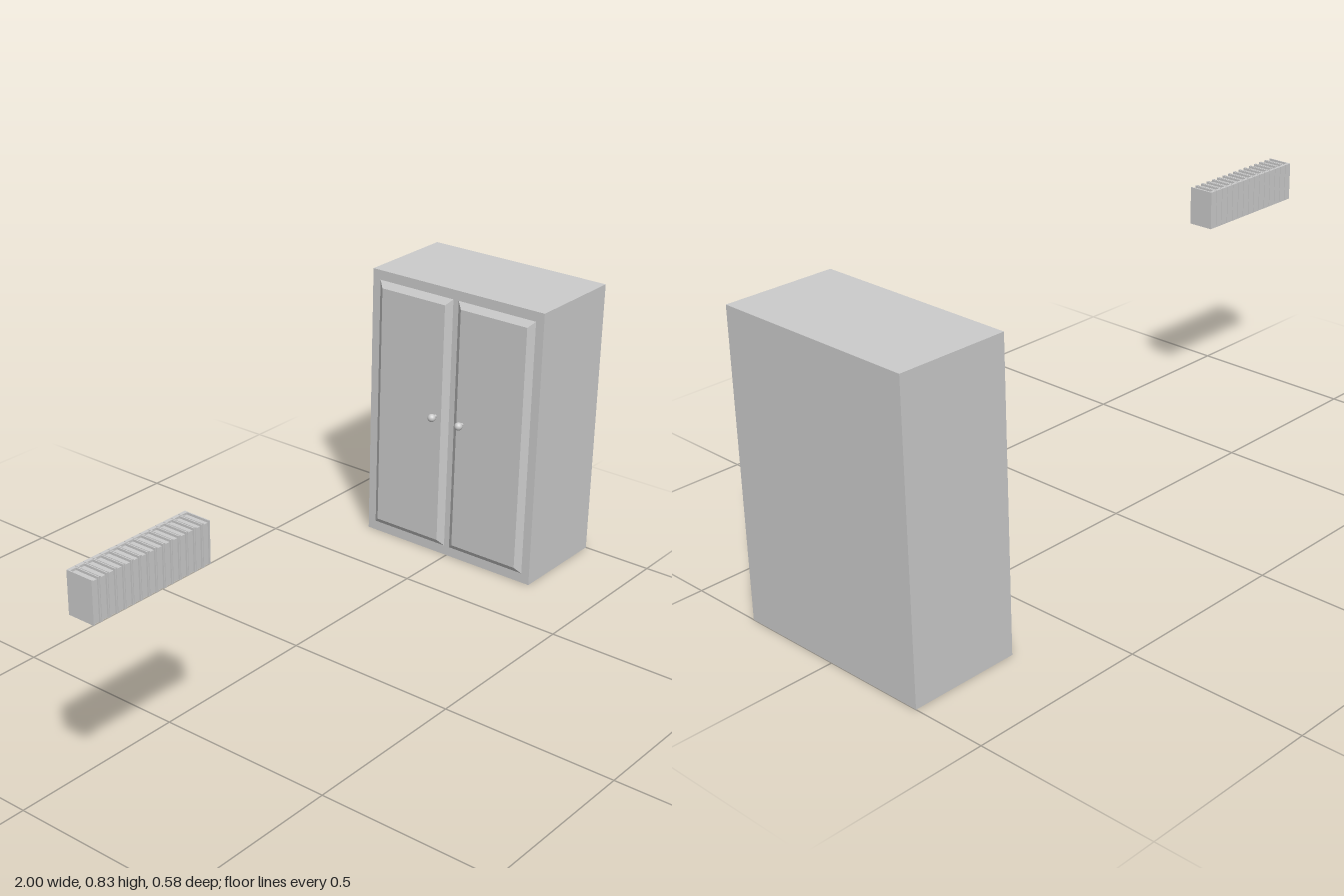
import * as THREE from 'three';

const grey = new THREE.MeshStandardMaterial({ color: 0xcccccc });

function add(parent, name, geometry, x, y, z) {
  const mesh = new THREE.Mesh(geometry, grey);
  mesh.name = name;
  mesh.position.set(x, y, z);
  parent.add(mesh);
  return mesh;
}

// Slab whose -x face is shrunk to leave a sloping bevel on all four sides
function bevelledPanel(depth, height, width, bevel) {
  const g = new THREE.BoxGeometry(depth, height, width);
  const p = g.attributes.position;
  for (let i = 0; i < p.count; i++) {
    if (p.getX(i) > 0) continue;
    p.setY(i, p.getY(i) - Math.sign(p.getY(i)) * bevel);
    p.setZ(i, p.getZ(i) - Math.sign(p.getZ(i)) * bevel);
  }
  g.computeVertexNormals();
  return g;
}

// Cabinet with its doors on the -x side
function createCabinet() {
  const cabinet = new THREE.Group();
  cabinet.name = 'cabinet';
  add(cabinet, 'cabinetBody', new THREE.BoxGeometry(0.308, 0.828, 0.582), 0.846, 0.414, 0);
  for (const s of [-1, 1]) {
    const side = s > 0 ? 'left' : 'right';
    add(cabinet, side + 'Door', bevelledPanel(0.014, 0.77, 0.256, 0.018), 0.685, 0.414, s * 0.137);
    const stem = add(cabinet, side + 'KnobStem', new THREE.CylinderGeometry(0.005, 0.005, 0.024, 12), 0.67, 0.44, s * 0.047);
    stem.rotation.z = Math.PI / 2;
    add(cabinet, side + 'Knob', new THREE.SphereGeometry(0.012, 16, 12), 0.66, 0.44, s * 0.047);
  }
  return cabinet;
}

// Book: two boards and a spine at the back, pages set slightly inside
function createBook(width) {
  const book = new THREE.Group();
  book.name = 'book';
  const h = 0.11, d = 0.076, t = 0.003;
  for (const s of [-1, 1])
    add(book, 'coverBoard', new THREE.BoxGeometry(t, h, d), s * (width - t) / 2, h / 2, 0);
  add(book, 'spine', new THREE.BoxGeometry(width - 2 * t, h, 0.009), 0, h / 2, -d / 2 + 0.0045);
  add(book, 'pages', new THREE.BoxGeometry(width - 2 * t, h - 0.006, d - 0.013), 0, (h - 0.006) / 2, 0.0025);
  return book;
}

export function createModel() {
  const model = new THREE.Group();
  model.name = 'cabinetAndBooks';
  model.add(createCabinet());

  // Row of upright books
  const row = new THREE.Group();
  row.name = 'bookRow';
  const count = 15, pitch = 0.0248, width = 0.0228;
  for (let i = 0; i < count; i++) {
    const book = createBook(width);
    book.position.set(-1 + width / 2 + i * pitch, 0.6, 0.238);
    row.add(book);
  }
  model.add(row);
  return model;
}
